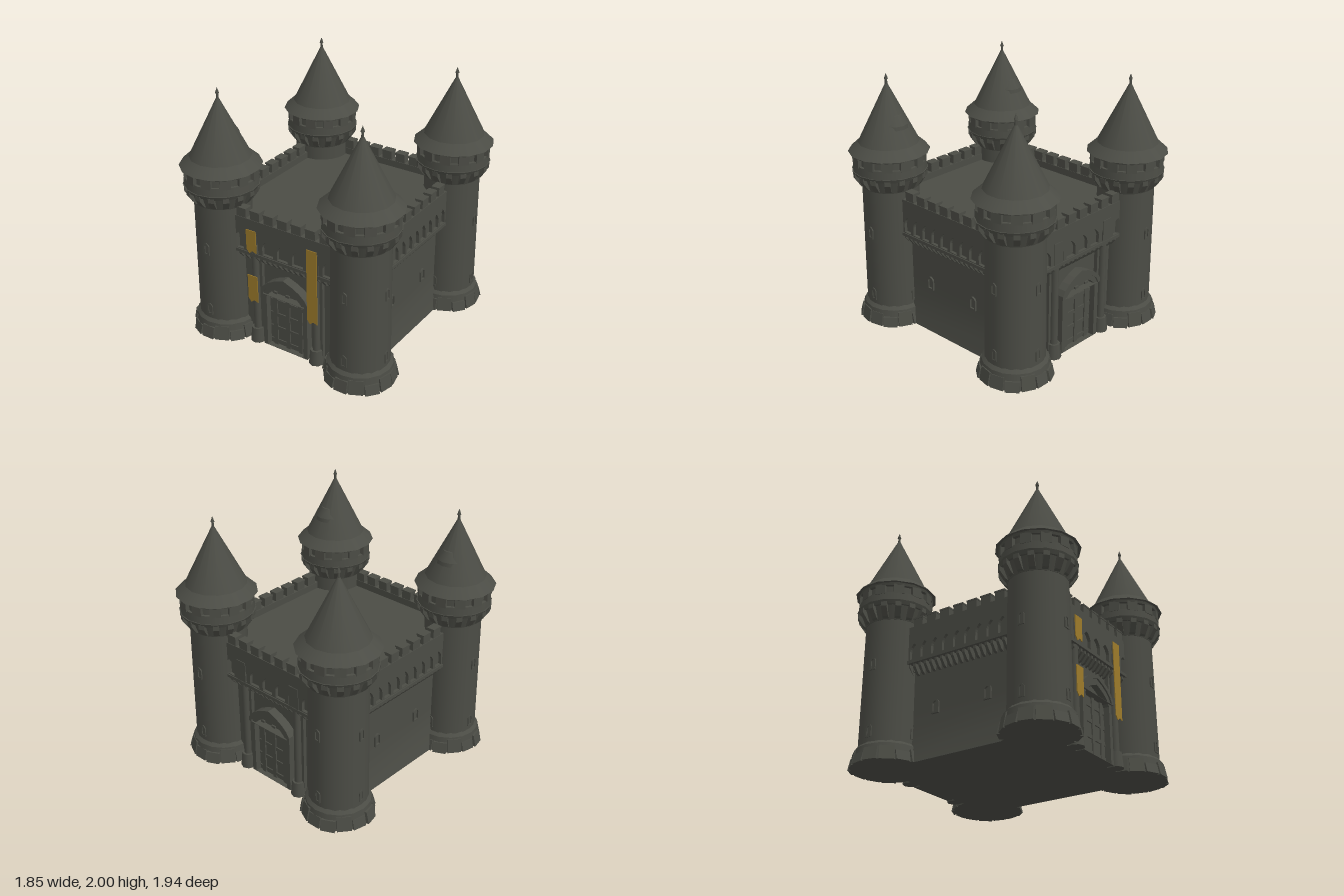
import * as THREE from 'three';

const stone = new THREE.MeshStandardMaterial({ color: 0x4b4c45 });
stone.name = 'dark stone';
const cloth = new THREE.MeshStandardMaterial({ color: 0x9c7a2a, side: THREE.DoubleSide });
cloth.name = 'gold cloth';

function add(parent, name, geo, x = 0, y = 0, z = 0, mat = stone) {
  const m = new THREE.Mesh(geo, mat);
  m.name = name;
  m.position.set(x, y, z);
  parent.add(m);
  return m;
}
// box given by its extents
function block(parent, name, x0, x1, y0, y1, z0, z1) {
  return add(parent, name, new THREE.BoxGeometry(x1 - x0, y1 - y0, z1 - z0),
    (x0 + x1) / 2, (y0 + y1) / 2, (z0 + z1) / 2);
}
// tapered drum from y0 to y1
function drum(parent, name, r0, r1, y0, y1, n = 16) {
  return add(parent, name, new THREE.CylinderGeometry(r1, r0, y1 - y0, n), 0, (y0 + y1) / 2, 0);
}
// pointed arch outline standing on y0
function arch(T, cx, half, y0, spring, peak) {
  const p = new T();
  p.moveTo(cx - half, y0);
  p.lineTo(cx + half, y0);
  p.lineTo(cx + half, spring);
  p.quadraticCurveTo(cx + half * 0.85, spring + (peak - spring) * 0.6, cx, peak);
  p.quadraticCurveTo(cx - half * 0.85, spring + (peak - spring) * 0.6, cx - half, spring);
  p.closePath();
  return p;
}
function extrude(shape, depth) {
  return new THREE.ExtrudeGeometry(shape, { depth, bevelEnabled: false, curveSegments: 4 });
}
// wedge bracket whose foot tapers into the wall (outward +z)
function bracket(width, y0, y1, depth) {
  const s = new THREE.Shape([[0, y0], [depth * 0.4, y0 + (y1 - y0) * 0.15], [depth, y0 + (y1 - y0) * 0.7], [depth, y1], [0, y1]]
    .map(p => new THREE.Vector2(...p)));
  return extrude(s, width).translate(0, 0, -width / 2).rotateY(-Math.PI / 2);
}
// framed slit window facing +z
function slit(parent, x, y, z, w = 0.05, h = 0.1) {
  const s = arch(THREE.Shape, 0, w / 2, 0, h * 0.75, h);
  s.holes.push(arch(THREE.Path, 0, w / 2 - 0.012, 0.012, h * 0.72, h - 0.014));
  return add(parent, 'slitWindow', extrude(s, 0.014), x, y, z);
}
// repeat something around the tower axis
function around(parent, name, n, fn, offset = 0) {
  for (let i = 0; i < n; i++) {
    const g = new THREE.Group();
    g.name = name;
    g.rotation.y = ((i + offset) / n) * Math.PI * 2;
    fn(g, i);
    parent.add(g);
  }
}

function tower(dormer) {
  const t = new THREE.Group();
  t.name = 'cornerTower';
  // rough stone foot
  drum(t, 'footing', 0.27, 0.25, 0, 0.13);
  drum(t, 'footingSlope', 0.25, 0.222, 0.13, 0.16);
  around(t, 'footStone', 14, (g, i) => {
    const h = 0.095 + 0.02 * Math.sin(i * 2.3);
    const s = block(g, 'stone', -0.054, 0.054, 0, h, 0.22, 0.279 + 0.007 * Math.sin(i * 4.1));
    s.geometry.translate(0, 0, 0);
    const p = s.geometry.attributes.position;
    for (let k = 0; k < p.count; k++) if (p.getY(k) > 0 && p.getZ(k) > 0) p.setZ(k, p.getZ(k) - 0.02);
    s.geometry.computeVertexNormals();
  });
  // shaft and the flare under the gallery
  drum(t, 'shaft', 0.226, 0.219, 0.15, 1.13, 20);
  drum(t, 'flare', 0.222, 0.265, 1.12, 1.24, 20);
  around(t, 'towerCorbel', 16, g => add(g, 'corbel', bracket(0.045, 1.12, 1.24, 0.075), 0, 0, 0.21));
  // gallery with openings between piers
  drum(t, 'galleryLedge', 0.278, 0.292, 1.225, 1.255);
  drum(t, 'galleryParapet', 0.285, 0.28, 1.25, 1.32);
  drum(t, 'galleryCore', 0.258, 0.258, 1.3, 1.405);
  drum(t, 'galleryLintel', 0.282, 0.29, 1.38, 1.405);
  around(t, 'galleryPier', 12, g => block(g, 'pier', -0.04, 0.04, 1.31, 1.39, 0.23, 0.28), 0.5);
  // bell-cast roof
  drum(t, 'roofEaves', 0.312, 0.235, 1.4, 1.47, 14);
  drum(t, 'roofCone', 0.235, 0.012, 1.47, 1.915, 14);
  drum(t, 'finialRod', 0.011, 0.008, 1.9, 1.97, 6);
  add(t, 'finialTip', new THREE.ConeGeometry(0.016, 0.045, 6), 0, 1.9775, 0);
  // rounded dormer on the rear slope
  if (dormer) {
    const d = new THREE.Group();
    d.name = 'dormer';
    d.position.z = -0.06;
    drum(d, 'dormerWall', 0.125, 0.095, 1.45, 1.6, 12);
    drum(d, 'dormerEave', 0.118, 0.112, 1.595, 1.625, 12);
    drum(d, 'dormerHood', 0.114, 0.07, 1.625, 1.695, 12);
    drum(d, 'dormerCap', 0.07, 0.005, 1.695, 1.715, 12);
    t.add(d);
  }
  // slit windows on each side
  around(t, 'shaftWindows', 4, g => {
    slit(g, 0, 0.72, 0.214);
    slit(g, 0, 0.19, 0.216);
  });
  return t;
}

// upper wall, local z = 0 is the recessed lower face
function wall(half, niches, pitch) {
  const w = new THREE.Group();
  w.name = 'curtainWall';
  block(w, 'parapet', -half, half, 0.95, 1.065, 0, 0.07);
  block(w, 'nicheBack', -half, half, 0.78, 0.96, -0.02, 0.045);
  block(w, 'cornice', -half, half, 0.765, 0.79, 0, 0.078);
  // arcade of pointed niches
  const s = new THREE.Shape([[-half, 0.785], [half, 0.785], [half, 0.955], [-half, 0.955]].map(p => new THREE.Vector2(...p)));
  for (let i = 0; i < niches; i++)
    s.holes.push(arch(THREE.Path, (i - (niches - 1) / 2) * pitch, pitch * 0.36, 0.797, 0.865, 0.925));
  add(w, 'arcade', extrude(s, 0.025), 0, 0, 0.045);
  // brackets under the cornice
  for (let x = -0.45; x < 0.46; x += 0.05) add(w, 'corbel', bracket(0.022, 0.685, 0.766, 0.06), x, 0, 0);
  // battlements
  for (let i = -3; i <= 3; i++) {
    const x = i * 0.124;
    block(w, 'merlon', x - 0.042, x + 0.042, 1.06, 1.132, 0.004, 0.066);
    block(w, 'merlonCap', x - 0.045, x + 0.045, 1.127, 1.14, 0, 0.07);
  }
  return w;
}

function gate(w) {
  // pointed surround with a raised outer moulding
  const s = arch(THREE.Shape, 0, 0.205, 0, 0.48, 0.62);
  s.holes.push(arch(THREE.Path, 0, 0.168, 0.002, 0.44, 0.555));
  add(w, 'gateSurround', extrude(s, 0.06));
  const hood = arch(THREE.Shape, 0, 0.215, 0.46, 0.49, 0.635);
  hood.holes.push(arch(THREE.Path, 0, 0.19, 0.462, 0.475, 0.6));
  add(w, 'gateHood', extrude(hood, 0.072));
  // panelled door
  add(w, 'door', extrude(arch(THREE.Shape, 0, 0.168, 0, 0.44, 0.555), 0.012));
  for (const x of [-0.115, 0, 0.115]) block(w, 'doorStile', x - 0.018, x + 0.018, 0, 0.48, 0, 0.024);
  for (const y of [0.02, 0.14, 0.26, 0.38]) block(w, 'doorRail', -0.16, 0.16, y, y + 0.03, 0, 0.021);
  // flanking columns on pedestals
  for (const x of [-0.275, 0.275]) {
    block(w, 'pilaster', x - 0.05, x + 0.05, 0, 0.77, 0, 0.03);
    add(w, 'column', new THREE.CylinderGeometry(0.028, 0.03, 0.7, 10), x, 0.42, 0.04);
    add(w, 'pedestal', new THREE.CylinderGeometry(0.048, 0.06, 0.12, 8), x, 0.06, 0.04);
    block(w, 'arcadePier', x - 0.045, x + 0.045, 0.78, 0.96, 0.03, 0.075);
  }
}

// hanging cloth with a ragged lower hem
function banner(w, x, y0, y1) {
  const s = new THREE.Shape();
  s.moveTo(x - 0.045, y1);
  s.lineTo(x - 0.045, y0 + 0.02);
  s.lineTo(x - 0.02, y0 - 0.012);
  s.lineTo(x + 0.01, y0 + 0.012);
  s.lineTo(x + 0.045, y0);
  s.lineTo(x + 0.045, y1);
  s.closePath();
  add(w, 'banner', extrude(s, 0.006), 0, 0, 0.08, cloth);
}

export function createModel() {
  const castle = new THREE.Group();
  castle.name = 'castle';

  // solid keep whose side walls spread at the foot
  const body = new THREE.BoxGeometry(1.24, 1.01, 1.38, 1, 5, 1).translate(0, 0.505, 0);
  const p = body.attributes.position;
  for (let i = 0; i < p.count; i++) if (p.getY(i) < 0.1) p.setX(i, Math.sign(p.getX(i)) * 0.66);
  body.computeVertexNormals();
  add(castle, 'keepBody', body);

  for (const x of [-0.62, 0.62]) for (const z of [-0.66, 0.66]) {
    const t = tower(z > 0);
    t.position.set(x, 0, z);
    castle.add(t);
  }

  // front, right, back and left walls
  for (let i = 0; i < 4; i++) {
    const side = i % 2 === 1;
    const w = side ? wall(0.55, 9, 0.1) : wall(0.52, 7, 0.135);
    w.rotation.y = (i * Math.PI) / 2;
    const d = side ? 0.62 : 0.69;
    w.position.set(Math.sin(w.rotation.y) * d, 0, Math.cos(w.rotation.y) * d);
    if (side) for (const x of [-0.23, 0.23]) slit(w, x, 0.35, 0, 0.065, 0.11);
    else gate(w);
    if (i === 0) {
      banner(w, 0.27, 0.37, 0.985);
      banner(w, -0.275, 0.8, 0.985);
      banner(w, -0.275, 0.37, 0.595);
    }
    castle.add(w);
  }
  return castle;
}
